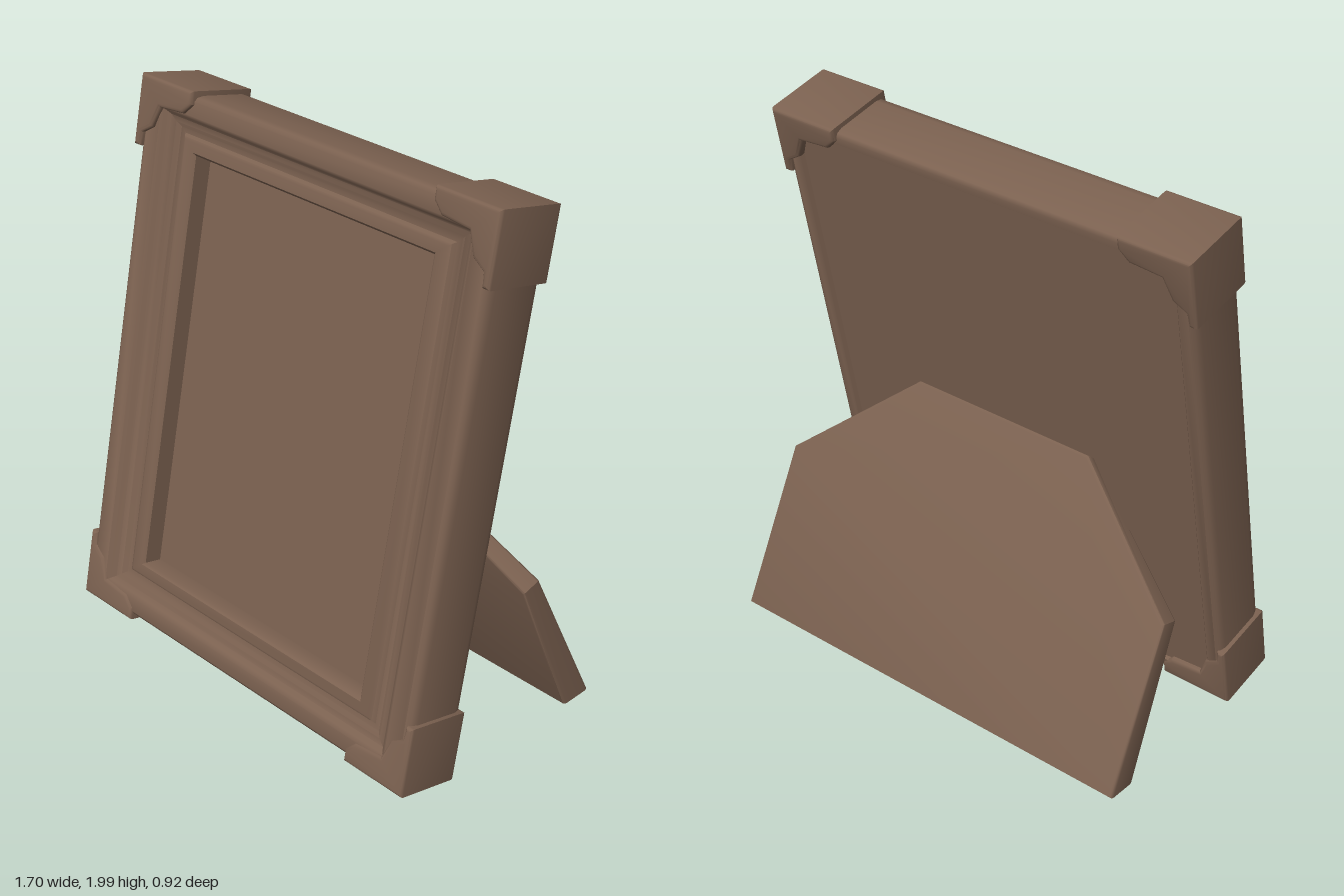
import * as THREE from 'three';
import { toCreasedNormals } from 'three/addons/utils/BufferGeometryUtils.js';

const wood = new THREE.MeshStandardMaterial({ color: 0x7b6150 });
wood.name = 'brownWood';

function part(name, geometry, parent) {
  const mesh = new THREE.Mesh(geometry, wood);
  mesh.name = name;
  parent.add(mesh);
  return mesh;
}

// Sweep a moulding profile [inset 0..1, depth] round a mitred rectangle
function mouldingGeometry(profile) {
  const corners = [[1, -1], [1, 1], [-1, 1], [-1, -1]];
  const at = ([sx, sy], [u, d]) => [sx * (0.835 - 0.265 * u), sy * (0.975 - 0.21 * u), d];
  const pos = [];
  for (let k = 0; k < 4; k++) {
    const c0 = corners[k], c1 = corners[(k + 1) % 4];
    for (let i = 0; i < profile.length - 1; i++) {
      const a = at(c0, profile[i]), b = at(c1, profile[i]);
      const c = at(c1, profile[i + 1]), d = at(c0, profile[i + 1]);
      pos.push(...a, ...b, ...c, ...a, ...c, ...d);
    }
  }
  const g = new THREE.BufferGeometry();
  g.setAttribute('position', new THREE.Float32BufferAttribute(pos, 3));
  return toCreasedNormals(g, 0.75);
}

// Bevelled slab whose outline and thickness stay at the given size
function slabGeometry(points, thickness, bevel) {
  const shape = new THREE.Shape(points.map(([x, y]) => new THREE.Vector2(x, y)));
  const g = new THREE.ExtrudeGeometry(shape, {
    depth: thickness - 2 * bevel, bevelEnabled: true, bevelSize: bevel,
    bevelThickness: bevel, bevelOffset: -bevel, bevelSegments: 3,
  });
  return g.translate(0, 0, bevel - thickness / 2);
}

export function createModel() {
  const model = new THREE.Group();
  model.name = 'pictureFrame';

  // Leaning frame
  const frame = new THREE.Group();
  frame.name = 'leaningFrame';
  frame.position.set(0, 1, 0.15);
  frame.rotation.x = -0.194;
  model.add(frame);

  // Moulding, from the back rebate round the outside to the picture opening
  part('moulding', mouldingGeometry([
    [0.27, -0.108], [0.23, -0.12], [0.09, -0.121], [0.03, -0.112], [0, -0.09],
    [0, 0.085], [0.03, 0.11], [0.09, 0.12], [0.34, 0.121], [0.4, 0.112],
    [0.46, 0.096], [0.55, 0.092], [0.62, 0.08], [0.7, 0.078], [0.74, 0.09],
    [0.78, 0.094], [0.95, 0.094], [0.99, 0.085], [1, 0.02],
  ]), frame);

  // Backing board and recessed picture panel
  const back = part('backBoard', new THREE.BoxGeometry(1.54, 1.84, 0.06), frame);
  back.position.z = -0.078;
  const panel = part('picturePanel', new THREE.BoxGeometry(1.16, 1.55, 0.07), frame);
  panel.position.z = -0.015;

  // Stepped corner caps, wrapping the moulding at all four corners
  const cap = [
    [0.85, 0.74], [0.85, 0.992], [0.575, 0.992], [0.575, 0.945], [0.615, 0.905],
    [0.735, 0.895], [0.765, 0.82], [0.815, 0.79], [0.82, 0.74],
  ];
  for (const sx of [1, -1]) for (const sy of [1, -1]) {
    const pts = cap.map(([x, y]) => [x * sx, y * sy]);
    const g = slabGeometry(pts, sy > 0 ? 0.275 : 0.256, 0.014);
    const name = (sy > 0 ? 'top' : 'bottom') + (sx > 0 ? 'Left' : 'Right') + 'CornerCap';
    part(name, toCreasedNormals(g, 0.7), frame);
  }

  // Easel stand: a shouldered board, thinner toward the top
  const height = 1.03, thick = 0.08;
  const stand = slabGeometry([
    [-0.84, 0], [0.84, 0], [0.83, 0.6 * height], [0.37, height],
    [-0.37, height], [-0.83, 0.6 * height],
  ], thick, 0.01);
  const p = stand.attributes.position;
  const mix = THREE.MathUtils.lerp;
  for (let i = 0; i < p.count; i++) {
    const v = p.getY(i) / height, s = p.getZ(i) / thick + 0.5;
    p.setY(i, mix(mix(0.035, 0.975, v), mix(0.025, 0.94, v), s));
    p.setZ(i, mix(mix(-0.465, 0.0, v), mix(-0.34, 0.038, v), s));
  }
  part('easelStand', toCreasedNormals(stand, 0.6), model);

  return model;
}
